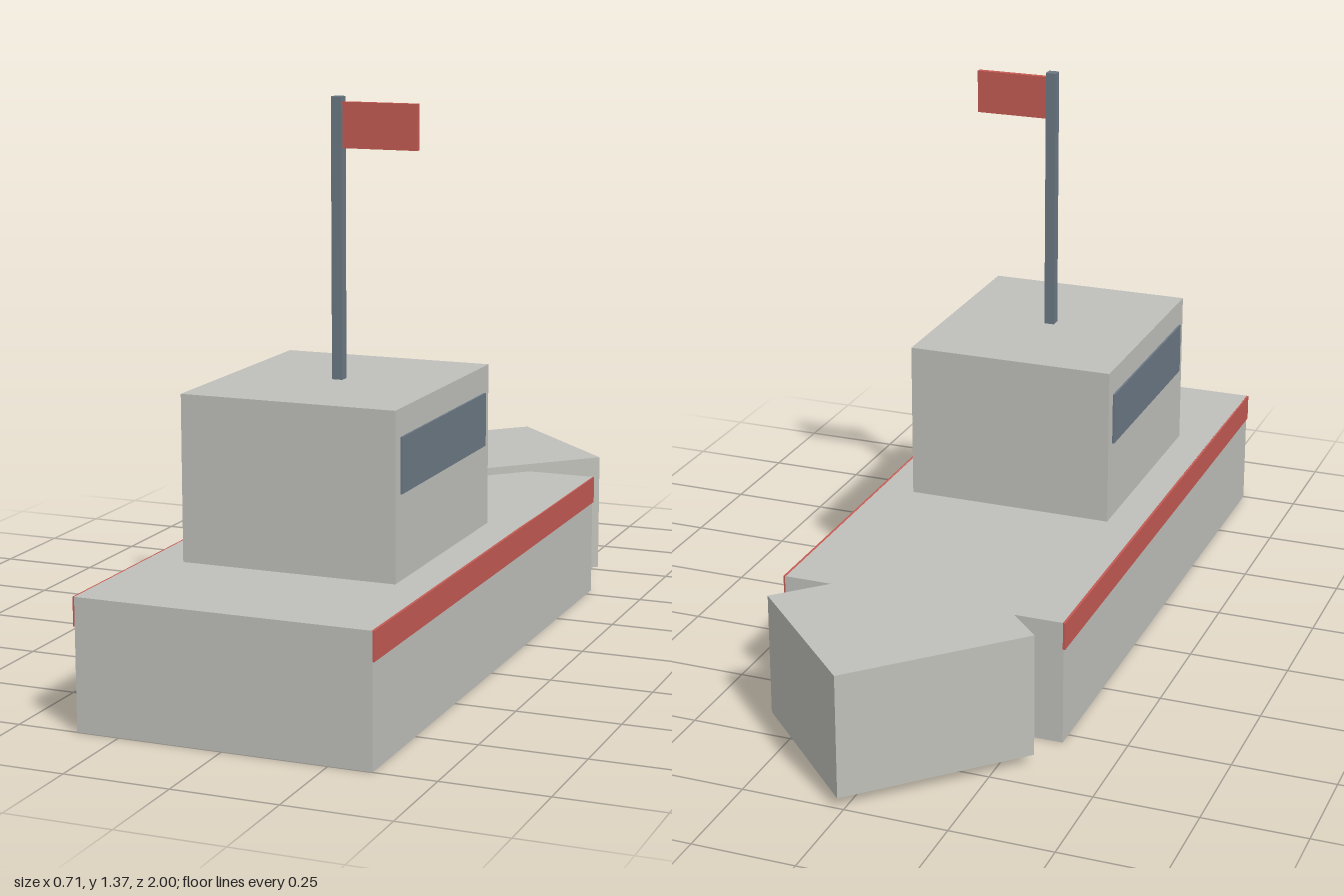
import * as THREE from 'three';

export function createModel() {
  const boat = new THREE.Group();
  boat.name = 'boat';

  const grey = new THREE.MeshStandardMaterial({ name: 'hullGrey', color: 0xbfbfba });
  const red = new THREE.MeshStandardMaterial({ name: 'signalRed', color: 0xc45a53 });
  const slate = new THREE.MeshStandardMaterial({ name: 'slateBlue', color: 0x6b7884 });

  // Box given by its extents on each axis
  const box = (name, material, [x0, x1], [y0, y1], [z0, z1]) => {
    const mesh = new THREE.Mesh(new THREE.BoxGeometry(x1 - x0, y1 - y0, z1 - z0), material);
    mesh.position.set((x0 + x1) / 2, (y0 + y1) / 2, (z0 + z1) / 2);
    mesh.name = name;
    boat.add(mesh);
    return mesh;
  };

  // Hull and cabin
  box('hull', grey, [-0.353, 0.353], [0, 0.31], [-0.54, 1]);
  box('cabin', grey, [-0.263, 0.263], [0.31, 0.705], [0.035, 0.645]);

  // Block set diagonally across one end of the hull
  const endBlock = box('endBlock', grey, [-0.241, 0.241], [0.025, 0.33], [-0.894, -0.454]);
  endBlock.rotation.y = Math.PI / 4;

  // Painted stripe and window on each side
  for (const [side, s] of [['left', 1], ['right', -1]]) {
    const span = (a, b) => (s > 0 ? [a, b] : [-b, -a]);
    box(side + 'Stripe', red, span(0.351, 0.357), [0.242, 0.31], [-0.54, 1]);
    box(side + 'Window', slate, span(0.261, 0.268), [0.51, 0.64], [0.065, 0.615]);
  }

  // Mast and flag
  box('mast', slate, [-0.013, 0.013], [0.705, 1.367], [0.327, 0.353]);
  box('flag', red, [0.012, 0.198], [1.248, 1.355], [0.333, 0.347]);

  return boat;
}
